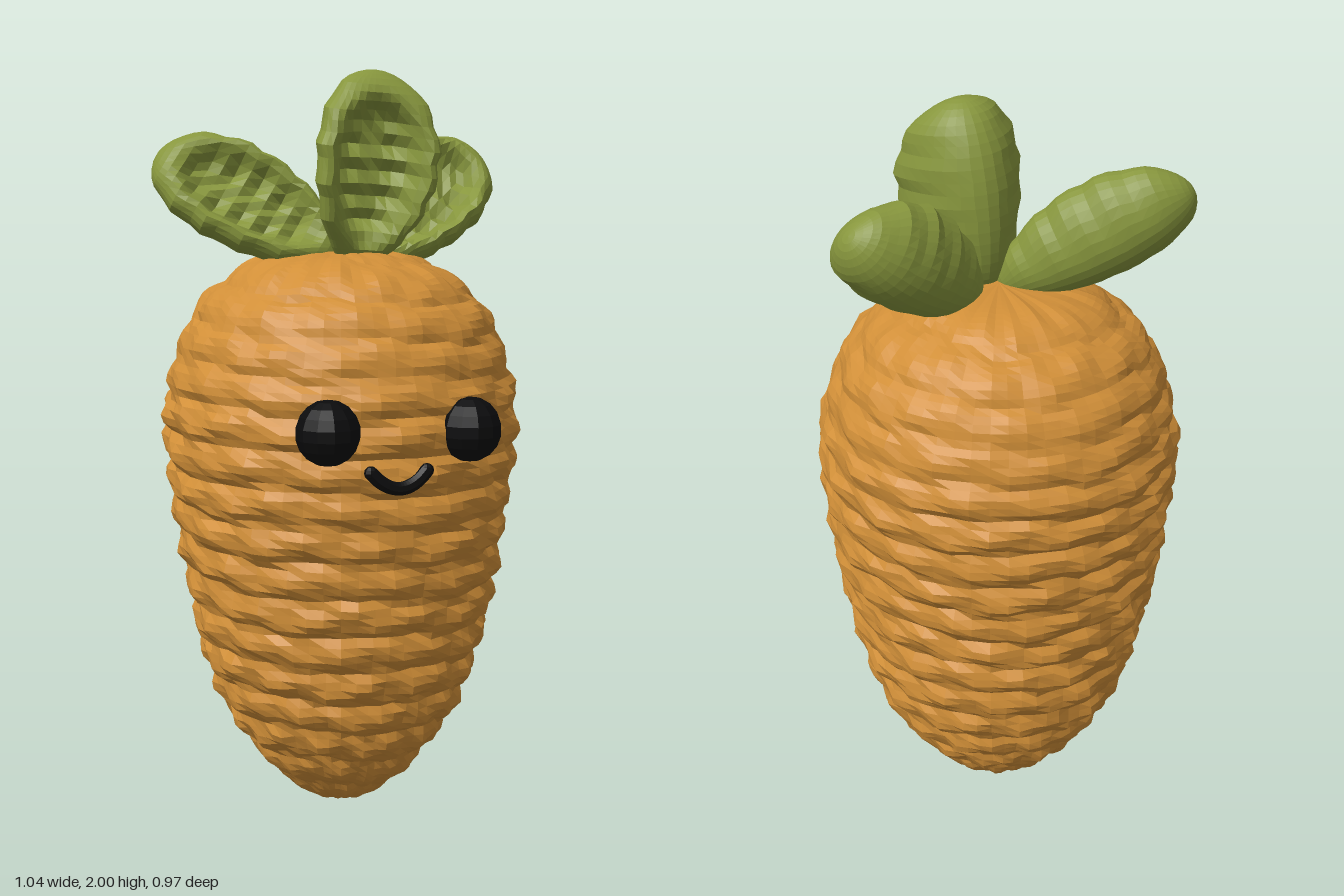
import * as THREE from 'three';

const mat = (name, color) => {
  const m = new THREE.MeshStandardMaterial({ color, flatShading: true });
  m.name = name;
  return m;
};

// Move every vertex of a geometry by a rule
function reshape(geo, rule) {
  const p = geo.attributes.position, n = geo.attributes.normal;
  const v = new THREE.Vector3(), k = new THREE.Vector3();
  for (let i = 0; i < p.count; i++) {
    v.fromBufferAttribute(p, i);
    k.fromBufferAttribute(n, i);
    rule(v, k);
    p.setXYZ(i, v.x, v.y, v.z);
  }
  geo.computeVertexNormals();
  return geo;
}

// Carrot-shaped body with spiral rows of stitches
function bodyGeometry() {
  const profile = new THREE.SplineCurve([
    [0, 0.005], [0.09, 0.03], [0.18, 0.1], [0.262, 0.2], [0.328, 0.31], [0.386, 0.48], [0.43, 0.7],
    [0.462, 0.92], [0.473, 1.1], [0.445, 1.25], [0.392, 1.37], [0.31, 1.455], [0.18, 1.52], [0, 1.535],
  ].map(([x, y]) => new THREE.Vector2(x, y))).getSpacedPoints(96);
  profile[0].x = profile[96].x = 0;
  return reshape(new THREE.LatheGeometry(profile, 60), (v, n) => {
    const a = Math.atan2(v.x, v.z), y = v.y;
    const wobble = 0.008 * Math.sin(5 * a + 9 * y) + 0.006 * Math.sin(13 * a - 21 * y);
    const row = Math.abs(Math.sin(Math.PI * ((y + wobble) / 0.096 + a / (2 * Math.PI))));
    const fade = Math.min(1, Math.hypot(v.x, v.z) / 0.28) * (y > 1.2 ? 0.65 : 1);
    const stitch = Math.sin(19 * a + 33 * y) * 0.006 + Math.sin(11 * a - 51 * y) * 0.005;
    v.addScaledVector(n, fade * (0.028 * Math.sqrt(row) - 0.022 + stitch * row));
  });
}

// Puffy leaf: rounded back, dished and ribbed face, narrow base
function leafGeometry(length, halfWidth, depth, curl) {
  return reshape(new THREE.SphereGeometry(1, 32, 24), (v) => {
    const { x, y, z } = v;
    const q = Math.hypot(x, y);
    let d = z * depth;
    if (z > 0) {
      const dish = THREE.MathUtils.smoothstep(0.85 - q, 0, 0.4);
      d -= dish * depth * (0.75 + 0.13 * Math.sin(y * 24 + Math.abs(x) * 4));
    }
    const wave = 1 + 0.04 * Math.sin(y * 17 + x * 3);
    const w = x * halfWidth * (1 + 0.18 * y) * wave;
    // Side rims curl towards the dished face
    d = d * (0.95 + 0.12 * y) + curl * x * x * wave;
    v.set(w, (y + 1) * length / 2, d);
  });
}

export function createModel() {
  const group = new THREE.Group();
  const orange = mat('orange yarn', 0xd18f38);
  const green = mat('green yarn', 0x87963d);
  const black = mat('black', 0x0b0b0c);
  const add = (name, geo, material, x = 0, y = 0, z = 0) => {
    const mesh = new THREE.Mesh(geo, material);
    mesh.name = name;
    mesh.position.set(x, y, z);
    group.add(mesh);
    return mesh;
  };

  add('body', bodyGeometry(), orange, -0.04, 0, 0);

  // Eyes
  add('leftEye', new THREE.SphereGeometry(0.083, 12, 9), black, 0.435, 1.1, -0.01);
  add('rightEye', new THREE.SphereGeometry(0.083, 12, 9), black, 0.29, 1.11, 0.34);

  // Smile following the body's curve
  const smile = [];
  for (let s = -1; s <= 1.001; s += 0.25) {
    const a = 0.422 + 0.155 * s;
    smile.push(new THREE.Vector3(-0.04 + 0.477 * Math.cos(a), 0.967 + 0.042 * s * s, 0.477 * Math.sin(a)));
  }
  add('smile', new THREE.TubeGeometry(new THREE.CatmullRomCurve3(smile), 20, 0.018, 8), black);
  for (const p of [smile[0], smile[smile.length - 1]]) {
    add('smileEnd', new THREE.SphereGeometry(0.018, 8, 6), black, p.x, p.y, p.z);
  }

  // Leaves: base, tip, direction of the dished face, half width, depth, curl
  const leaves = [
    ['frontLeaf', [-0.02, 1.51, 0.02], [-0.37, 1.78, 0.36], [0.72, 0.5, 0.5], 0.14, 0.11, 0.04],
    ['backLeaf', [0, 1.5, -0.05], [0.01, 1.78, -0.455], [0.8, 0.5, 0.35], 0.14, 0.12, 0.04],
    ['uprightLeaf', [0.02, 1.49, 0], [0.085, 2.0, -0.01], [0.9, -0.1, 0.4], 0.16, 0.125, 0.1],
  ];
  for (const [name, base, tip, face, halfWidth, depth, curl] of leaves) {
    const b = new THREE.Vector3(...base);
    const up = new THREE.Vector3(...tip).sub(b);
    const length = up.length();
    up.normalize();
    const side = up.clone().cross(new THREE.Vector3(...face)).normalize();
    const front = side.clone().cross(up);
    const leaf = add(name, leafGeometry(length, halfWidth, depth, curl), green, ...base);
    leaf.quaternion.setFromRotationMatrix(new THREE.Matrix4().makeBasis(side, up, front));
  }
  return group;
}
